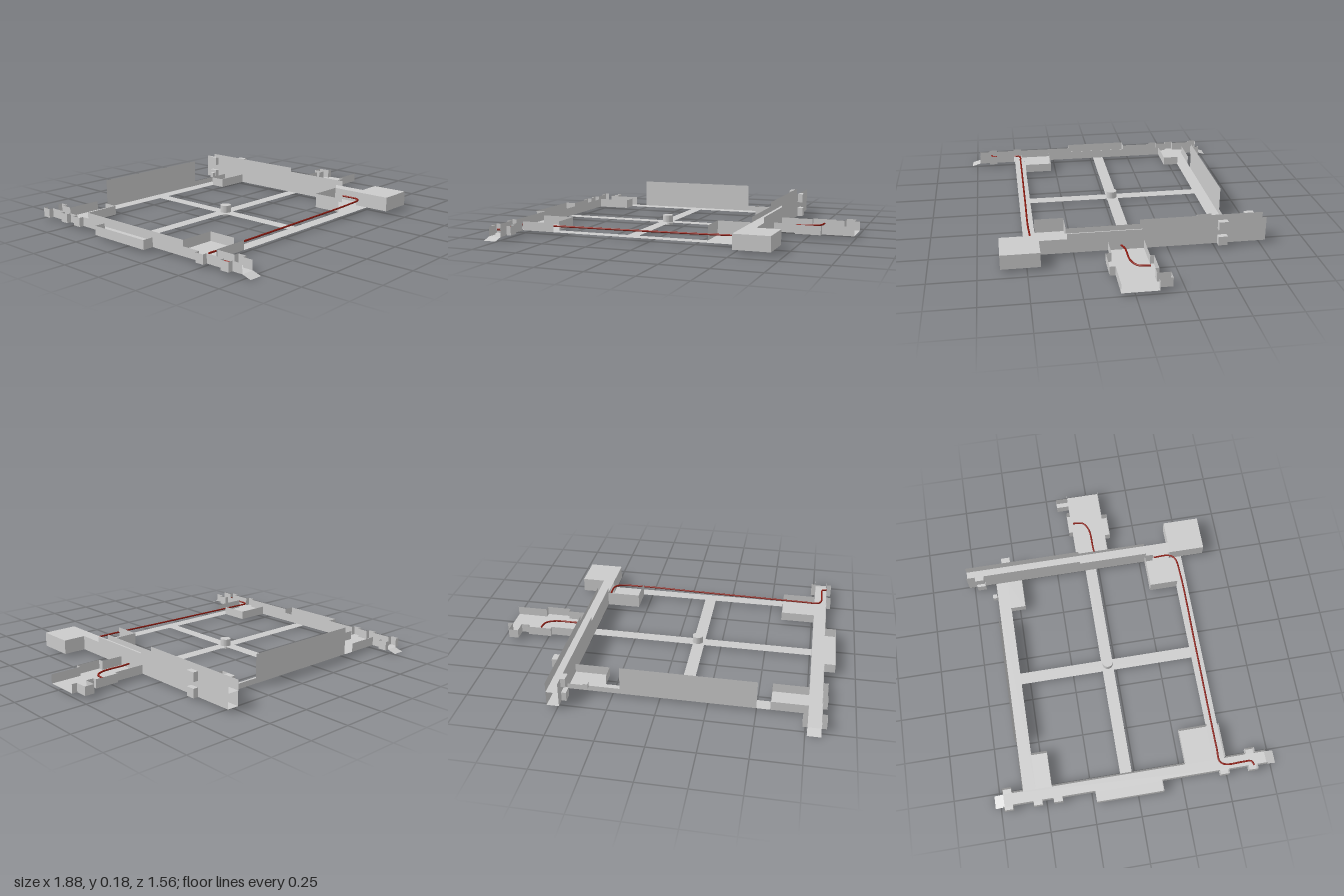
import * as THREE from 'three';

const grey = new THREE.MeshStandardMaterial({ color: 0xcccccc, side: THREE.DoubleSide, flatShading: true });
const red = new THREE.MeshStandardMaterial({ color: 0x8c1a10 });
const FLOOR = 0.02, RIM = 0.07, DECK = 0.105;

export function createModel() {
  const model = new THREE.Group();

  const add = (name, geometry, material = grey) => {
    const mesh = new THREE.Mesh(geometry, material);
    mesh.name = name;
    model.add(mesh);
    return mesh;
  };

  // Horizontal sheet
  const sheet = (name, x0, x1, z0, z1, y = FLOOR) =>
    add(name, new THREE.PlaneGeometry(x1 - x0, z1 - z0).rotateX(-Math.PI / 2)
      .translate((x0 + x1) / 2, y, (z0 + z1) / 2));

  // Thin upright wall following a plan path of [x, z] points
  const wall = (name, path, top = RIM, bottom = FLOOR) => {
    const pos = [], index = [];
    path.forEach(([x, z], i) => {
      pos.push(x, bottom, z, x, top, z);
      if (i) {
        const k = 2 * i;
        index.push(k - 2, k, k + 1, k - 2, k + 1, k - 1);
      }
    });
    const g = new THREE.BufferGeometry();
    g.setAttribute('position', new THREE.Float32BufferAttribute(pos, 3));
    g.setIndex(index);
    g.computeVertexNormals();
    add(name, g);
  };

  const box = (name, x0, x1, y0, y1, z0, z1) =>
    add(name, new THREE.BoxGeometry(x1 - x0, y1 - y0, z1 - z0)
      .translate((x0 + x1) / 2, (y0 + y1) / 2, (z0 + z1) / 2));

  // Side wall along z with small cable outlets stepping outwards by d
  const outletWall = (name, x, z0, z1, outlets, d) => {
    const path = [[x, z0]];
    for (const z of outlets) {
      const a = z - 0.025, b = z + 0.025;
      path.push([x, a], [x + d, a], [x + d, b], [x, b]);
      sheet('outletFloor', Math.min(x, x + d), Math.max(x, x + d), a, b);
    }
    path.push([x, z1]);
    wall(name, path);
  };

  // Left rail: open tray with drooping end lips and a widened middle
  sheet('leftRailFloor', -0.83, -0.76, -0.73, 0.73);
  for (const s of [-1, 1]) {
    const lip = sheet('leftRailLip', -0.83, -0.76, 0.73, 0.78);
    const p = lip.geometry.attributes.position;
    for (let i = 0; i < p.count; i++) {
      if (p.getZ(i) > 0.75) p.setY(i, 0.005);
      p.setZ(i, s * p.getZ(i));
    }
    if (s < 0) lip.geometry.index.array.reverse();
    lip.geometry.computeVertexNormals();
  }
  outletWall('leftOuterWallBack', -0.83, -0.73, -0.23, [-0.705, -0.545, -0.435], -0.025);
  outletWall('leftOuterWallFront', -0.83, 0.14, 0.73, [0.485, 0.645], -0.025);
  sheet('sideBayFloor', -0.89, -0.83, -0.23, 0.14);
  wall('sideBayWall', [[-0.83, -0.23], [-0.89, -0.23], [-0.89, 0.14], [-0.83, 0.14]]);
  outletWall('leftInnerWallBack', -0.76, -0.73, -0.62, [-0.705], 0.025);
  outletWall('leftInnerWallFront', -0.76, 0.51, 0.73, [0.645], 0.025);
  wall('leftInnerWall', [[-0.76, -0.46], [-0.76, 0.28]]);

  // Cross members joining the rails
  sheet('frontStrip', -0.76, 0.49, 0.44, 0.505);
  sheet('backStrip', -0.76, 0.49, -0.62, -0.55);
  sheet('longStrut', -0.155, -0.09, -0.55, 0.44);
  sheet('crossStrutLeft', -0.76, -0.155, -0.08, -0.015);
  sheet('crossStrutRight', -0.09, 0.49, -0.08, -0.015);
  add('hub', new THREE.CylinderGeometry(0.03, 0.03, 0.055, 24).translate(-0.115, 0.0325, -0.045));

  // Corner trays with walls on their inner sides
  const corner = (railX, innerX, stripZ, innerZ, top) => {
    sheet('cornerTray', Math.min(railX, innerX), Math.max(railX, innerX),
      Math.min(stripZ, innerZ), Math.max(stripZ, innerZ));
    wall('cornerTrayWall', [[railX, innerZ], [innerX, innerZ], [innerX, stripZ]], top);
  };
  corner(-0.76, -0.57, 0.44, 0.28, RIM);
  corner(0.49, 0.3, 0.44, 0.28, 0.1);
  corner(-0.76, -0.57, -0.55, -0.46, RIM);
  corner(0.49, 0.3, -0.55, -0.465, RIM);
  wall('cornerFrontWall', [[-0.76, 0.505], [-0.57, 0.505]]);
  wall('cornerBackWall', [[-0.76, -0.62], [-0.57, -0.62]]);

  // Back edge: tall panel, low wall and a small outlet
  wall('backPanel', [[-0.5, -0.62], [0.21, -0.62]], 0.18);
  wall('backLowWall', [[0.12, -0.62], [0.49, -0.62]], 0.05);
  box('backOutlet', 0.375, 0.4, 0.045, 0.075, -0.645, -0.62);

  // Right rail: lower channel, upper deck and stepped side walls
  sheet('rightRailFloor', 0.49, 0.555, -0.78, 0.43);
  sheet('rightRailDeck', 0.49, 0.555, -0.78, 0.43, 0.1);
  for (const x of [0.49, 0.555]) {
    const inner = x < 0.5;
    wall('rightRailFrontWall', [[x, inner ? 0.33 : 0.43], [x, 0.285]], 0.1);
    wall('rightRailMiddleWall', [[x, 0.285], [x, -0.11]], 0.13);
    wall('rightRailBackWall', [[x, -0.11], [x, -0.78]], 0.155);
  }
  for (const y of [FLOOR, DECK]) {
    box('rightInnerOutlet', 0.465, 0.49, y, y + 0.05, -0.73, -0.68);
    box('rightOuterOutlet', 0.555, 0.585, y, y + 0.05, -0.565, -0.515);
  }
  box('frontBlock', 0.49, 0.685, FLOOR, 0.1, 0.43, 0.635);

  // Side tray on the right with stepped front and back walls, open at its end
  sheet('sideTrayFloor', 0.555, 0.995, -0.12, 0.07);
  sheet('sideTrayFrontStep', 0.68, 0.82, 0.07, 0.1);
  sheet('sideTrayBackStep', 0.73, 0.865, -0.14, -0.12);
  sheet('sideTrayOutlet', 0.91, 0.965, -0.19, -0.12);
  wall('sideTrayFrontWall', [[0.555, 0.07], [0.68, 0.07], [0.68, 0.1], [0.82, 0.1], [0.82, 0.07], [0.995, 0.07]]);
  wall('sideTrayBackWall', [[0.555, -0.12], [0.73, -0.12], [0.73, -0.14], [0.865, -0.14], [0.865, -0.12],
    [0.91, -0.12], [0.91, -0.19], [0.965, -0.19], [0.965, -0.12], [0.995, -0.12]]);

  // Cables
  const cable = (name, points) => {
    const curve = new THREE.CatmullRomCurve3(points.map((p) => new THREE.Vector3(...p)), false, 'centripetal');
    add(name, new THREE.TubeGeometry(curve, 120, 0.005, 8), red);
  };
  cable('frontCable', [[-0.83, 0.045, 0.655], [-0.805, 0.045, 0.645], [-0.802, 0.045, 0.6], [-0.8, 0.045, 0.5],
    [-0.78, 0.046, 0.472], [-0.7, 0.047, 0.47], [-0.1, 0.053, 0.472], [0.35, 0.059, 0.472],
    [0.46, 0.06, 0.46], [0.488, 0.06, 0.43], [0.49, 0.06, 0.335]]);
  cable('sideCable', [[0.555, 0.045, 0], [0.6, 0.048, -0.012], [0.74, 0.05, -0.02], [0.79, 0.05, -0.05], [0.8, 0.05, -0.11]]);

  return model;
}
